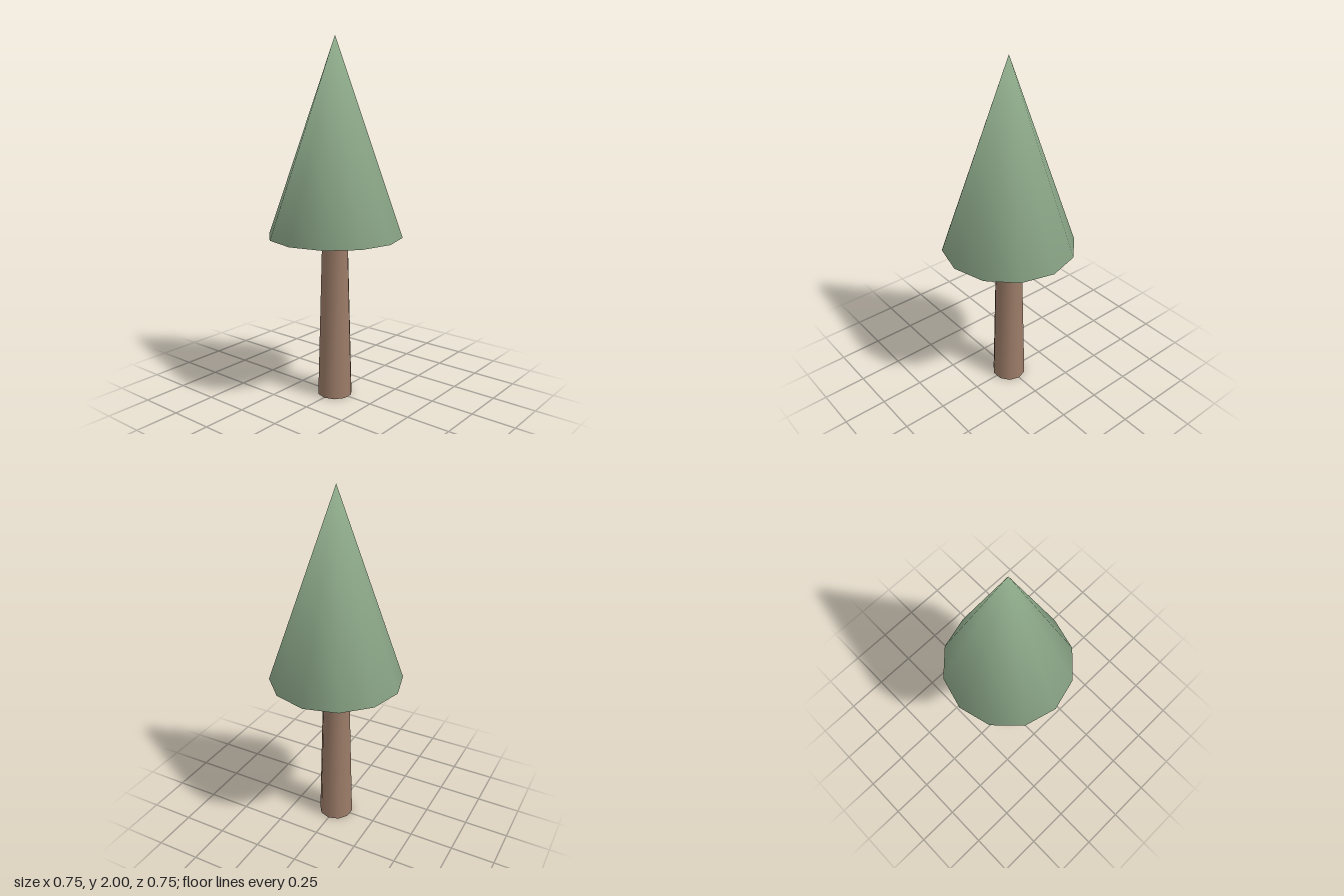
import * as THREE from 'three';
import { mergeVertices } from 'three/addons/utils/BufferGeometryUtils.js';

// Weld all corners so the shading runs smoothly over every edge
function smooth(geometry) {
  geometry.deleteAttribute('normal');
  geometry.deleteAttribute('uv');
  const welded = mergeVertices(geometry, 1e-4);
  welded.computeVertexNormals();
  return welded;
}

function addPart(group, name, geometry, material, y) {
  const mesh = new THREE.Mesh(smooth(geometry), material);
  mesh.name = name;
  mesh.position.y = y;
  group.add(mesh);
}

export function createModel() {
  const tree = new THREE.Group();
  tree.name = 'pineTree';
  const base = 0.925; // height where the foliage starts

  // Tapered ten-sided trunk, open at both ends, corners on the x axis
  const bark = new THREE.MeshStandardMaterial({ color: 0x9c7c68, side: THREE.DoubleSide });
  const trunk = new THREE.CylinderGeometry(0.073, 0.099, base, 10, 1, true);
  trunk.rotateY(Math.PI / 2);
  addPart(tree, 'trunk', trunk, bark, base / 2);

  // Twelve-sided foliage cone with a closed underside
  const needles = new THREE.MeshStandardMaterial({ color: 0x8fab8b, side: THREE.DoubleSide });
  const foliage = new THREE.ConeGeometry(0.373, 2 - base, 12, 1);
  addPart(tree, 'foliage', foliage, needles, (2 + base) / 2);

  return tree;
}
